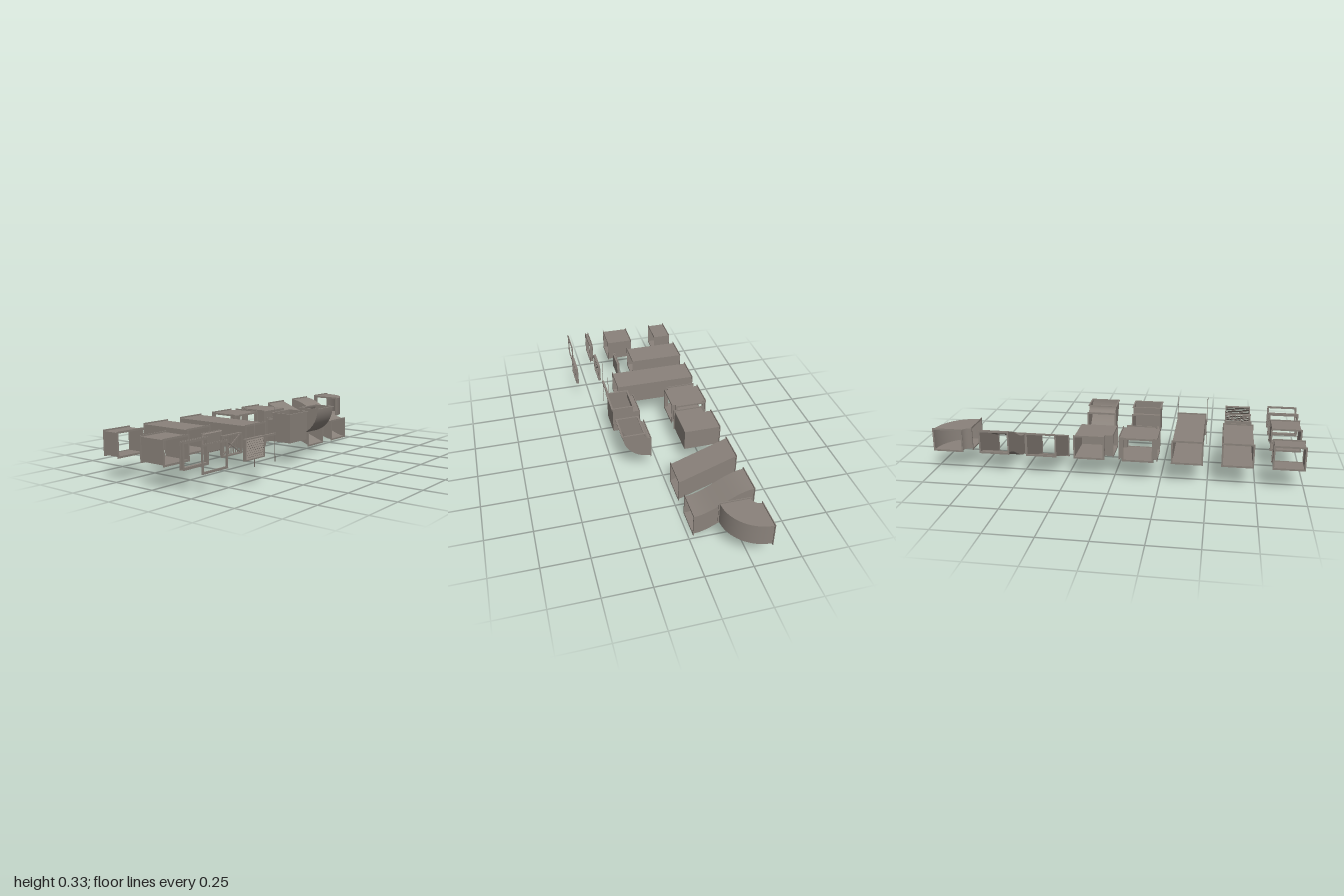
import * as THREE from 'three';
import { mergeGeometries } from 'three/addons/utils/BufferGeometryUtils.js';

const steel = new THREE.MeshStandardMaterial({ color: 0x8a827b, side: THREE.DoubleSide });
steel.name = 'galvanised steel';

const HW = 0.078, HH = 0.0585;   // duct half width and half height
const FW = 0.167, FH = 0.131;    // flange outer size
const CY = 0.186, BACK = -0.337; // duct axis height, back row
const V = (x, y, z) => new THREE.Vector3(x, y, z);

// sheet between two matching rows of points
function strip(a, b, smooth) {
  const pos = [], index = [];
  a.forEach((p, i) => {
    pos.push(...p.toArray(), ...b[i].toArray());
    if (i) { const k = 2 * i; index.push(k - 2, k, k - 1, k - 1, k, k + 1); }
  });
  let g = new THREE.BufferGeometry();
  g.setAttribute('position', new THREE.Float32BufferAttribute(pos, 3));
  g.setIndex(index);
  g = smooth ? g : g.toNonIndexed();
  g.computeVertexNormals();
  return smooth ? g.toNonIndexed() : g;
}

// open rectangular duct through sections of four corners
function loft(sections, smooth = false) {
  return mergeGeometries([0, 1, 2, 3].map(i =>
    strip(sections.map(s => s[i]), sections.map(s => s[(i + 1) % 4]), smooth)));
}

const section = (x, y, z) => [V(x - HW, y - HH, z), V(x + HW, y - HH, z), V(x + HW, y + HH, z), V(x - HW, y + HH, z)];

// flat rectangular ring centred on the origin, facing z
function ring(w, h, iw, ih, depth) {
  const rect = (C, a, b) => {
    const s = new C();
    s.moveTo(-a / 2, -b / 2); s.lineTo(a / 2, -b / 2); s.lineTo(a / 2, b / 2); s.lineTo(-a / 2, b / 2);
    s.closePath();
    return s;
  };
  const shape = rect(THREE.Shape, w, h);
  shape.holes.push(rect(THREE.Path, iw, ih));
  return new THREE.ExtrudeGeometry(shape, { depth, bevelEnabled: false }).translate(0, 0, -depth / 2);
}

export function createModel() {
  const model = new THREE.Group();

  function part(name) {
    const g = new THREE.Group();
    g.name = name;
    model.add(g);
    return g;
  }
  function add(group, name, geometry, x = 0, y = 0, z = 0) {
    const m = new THREE.Mesh(geometry, steel);
    m.name = name;
    m.position.set(x, y, z);
    group.add(m);
    return m;
  }
  // end flange facing z, x or y
  function flange(group, x, y, z, facing = 'z') {
    const g = ring(FW, FH, 0.15, 0.111, 0.004);
    if (facing === 'x') g.rotateY(Math.PI / 2);
    if (facing === 'y') g.rotateX(Math.PI / 2);
    add(group, 'flange', g, x, y, z);
  }

  // straight ducts
  [['shortDuct', -0.913, BACK, -0.237], ['mediumDuct', -0.913, -0.075, 0.077],
    ['longDuct', -0.653, BACK, -0.028], ['extraLongDuct', -0.392, BACK, 0.124]].forEach(([name, x, z0, z1]) => {
    const g = part(name);
    add(g, 'ductBody', loft([section(x, CY, z0), section(x, CY, z1)]));
    flange(g, x, CY, z0);
    flange(g, x, CY, z1);
  });

  // offset ducts: slanted and s-curved
  [['slantedOffset', 0.387, 1, t => t], ['curvedOffset', 0.648, 20, t => t * t * (3 - 2 * t)]].forEach(([name, x, n, f]) => {
    const g = part(name), z1 = -0.028, y1 = 0.0685;
    const rows = [];
    for (let i = 0; i <= n; i++) {
      const t = i / n;
      rows.push(section(x, y1 + (CY - y1) * f(t), z1 + (BACK - z1) * t));
    }
    add(g, 'ductBody', loft(rows, true));
    flange(g, x, CY, BACK);
    flange(g, x, y1, z1);
  });

  // elbow body turning about a pivot from direction e1 to e2
  function elbow(pivot, e1, e2, axis, half, inner, outer, curved) {
    const rows = [], n = curved ? 20 : 2;
    for (let i = 0; i <= n; i++) {
      const a = (i / n) * Math.PI / 2;
      const k = !curved && i === 1 ? Math.SQRT2 : 1;
      const dir = e1.clone().multiplyScalar(Math.cos(a) * k).addScaledVector(e2, Math.sin(a) * k);
      const at = (r, s) => pivot.clone().addScaledVector(dir, r).addScaledVector(axis, s * half);
      rows.push([at(inner, -1), at(outer, -1), at(outer, 1), at(inner, 1)]);
    }
    return loft(rows, curved);
  }

  // level elbows
  [['squareElbow', 0.004, false], ['curvedElbow', 0.785, true]].forEach(([name, x, curved]) => {
    const g = part(name), inner = 0.045, outer = inner + 2 * HW, mid = inner + HW;
    add(g, 'ductBody', elbow(V(x, CY, BACK), V(1, 0, 0), V(0, 0, 1), V(0, 1, 0), HH, inner, outer, curved));
    flange(g, x + mid, CY, BACK);
    flange(g, x, CY, BACK + mid, 'x');
  });

  // rising elbows
  [['squareRiser', -0.133, false], ['curvedRiser', 0.127, true]].forEach(([name, x, curved]) => {
    const g = part(name), inner = 0.037, outer = inner + 2 * HH, mid = inner + HH;
    add(g, 'ductBody', elbow(V(x, 0.281, 0.057), V(0, 0, 1), V(0, -1, 0), V(1, 0, 0), HW, inner, outer, curved));
    flange(g, x, 0.281 - mid, 0.057);
    flange(g, x, 0.281, 0.057 + mid, 'y');
  });

  // four way junction
  const cross = part('crossJunction'), R = 0.1005;
  cross.position.set(-0.133, CY, -0.237);
  for (const s of [-1, 1]) {
    add(cross, 'coverPlate', new THREE.BoxGeometry(2 * HW, 0.001, 2 * R), 0, s * HH, 0);
    for (const t of [-1, 1]) {
      add(cross, 'sideCover', new THREE.BoxGeometry(R - HW, 0.001, 2 * HW), t * (R + HW) / 2, s * HH, 0);
      const corner = y => [V(s * HW, y, t * R), V(s * HW, y, t * HW), V(s * R, y, t * HW)];
      add(cross, 'cornerWall', strip(corner(-HH), corner(HH), false));
    }
    flange(cross, 0, 0, s * R);
    flange(cross, s * R, 0, 0, 'x');
  }

  // joining sleeve and gasket
  const sleeve = part('joiningSleeve');
  add(sleeve, 'sleeveBody', ring(0.156, 0.117, 0.146, 0.107, 0.02), -0.913, CY, 0.19);
  add(sleeve, 'sleeveRim', ring(FW, FH, 0.146, 0.107, 0.004), -0.913, CY, 0.182);
  add(sleeve, 'sleeveRim', ring(FW, FH, 0.146, 0.107, 0.004), -0.913, CY, 0.199);
  const gasket = part('gasket');
  add(gasket, 'gasketRing', ring(0.17, 0.134, 0.15, 0.112, 0.003), -0.913, CY, 0.316);
  add(gasket, 'gasketLip', ring(0.166, 0.126, 0.15, 0.112, 0.007), -0.913, CY, 0.315);

  // shallow tapered end cap
  const cap = part('endCap');
  add(cap, 'capRim', new THREE.BoxGeometry(0.146, 0.104, 0.004), -0.655, CY, 0.058);
  const taper = new THREE.CylinderGeometry(0.93 * Math.SQRT1_2, Math.SQRT1_2, 1, 4, 1).toNonIndexed();
  taper.rotateY(Math.PI / 4).rotateX(Math.PI / 2).scale(0.14, 0.098, 0.01);
  taper.computeVertexNormals();
  add(cap, 'capPanel', taper, -0.655, CY, 0.065);

  // open grille with crossed braces
  const grille = part('bracedGrille');
  grille.position.set(-0.655, CY, 0.187);
  add(grille, 'grilleFrame', ring(0.146, 0.104, 0.132, 0.09, 0.014));
  for (const s of [-1, 1]) {
    add(grille, 'diagonalBrace', new THREE.BoxGeometry(0.158, 0.007, 0.004)).rotation.z = s * Math.atan2(0.09, 0.132);
  }
  for (let i = -3; i <= 3; i++) {
    add(grille, 'grilleBar', new THREE.BoxGeometry(0.003, 0.092, 0.004), i * 0.0165, 0, -0.003);
  }

  // vent with tilted slats
  const vent = part('louvreVent');
  vent.position.set(-0.655, CY, 0.328);
  add(vent, 'ventFrame', ring(0.146, 0.104, 0.134, 0.092, 0.016));
  for (let i = 0; i < 9; i++) {
    add(vent, 'slat', new THREE.BoxGeometry(0.136, 0.0015, 0.016), 0, -0.042 + i * 0.0105, 0).rotation.x = 0.75;
  }

  // hanger: two threaded rods with a support bar
  const hanger = part('hanger');
  add(hanger, 'supportBar', new THREE.BoxGeometry(0.176, 0.011, 0.012), -0.393, 0.19, 0.184);
  for (const s of [-1, 1]) {
    add(hanger, 'rod', new THREE.CylinderGeometry(0.0015, 0.0015, 0.287, 8), -0.393 + s * 0.085, 0.1865, 0.185);
  }

  return model;
}
